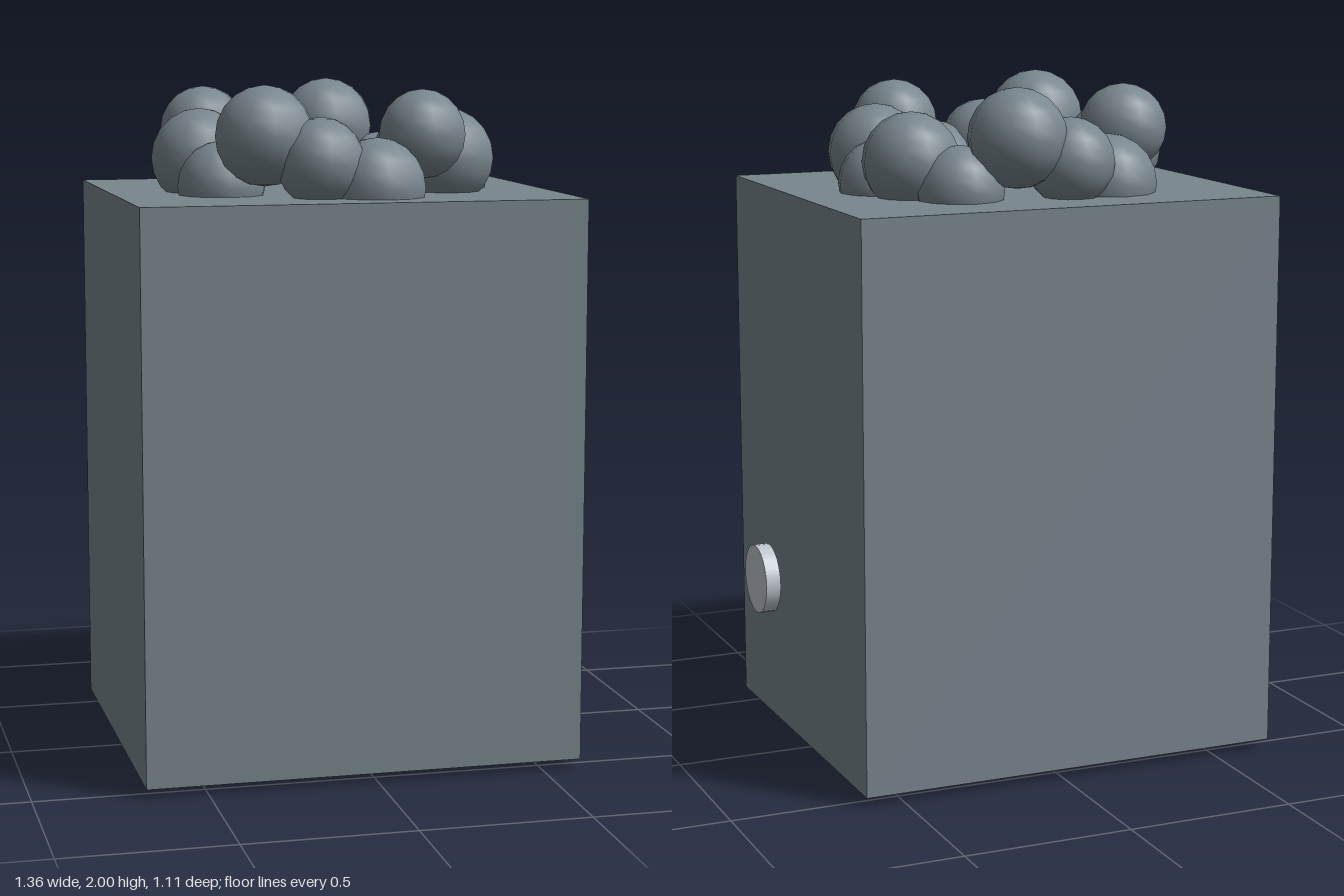
import * as THREE from 'three';

export function createModel() {
  const group = new THREE.Group();
  const slate = new THREE.MeshStandardMaterial({ color: 0x78868d });
  slate.name = 'slate grey';
  const silver = new THREE.MeshStandardMaterial({ color: 0xbfc6cd });
  silver.name = 'silver grey';

  const add = (name, geometry, material, x, y, z) => {
    const mesh = new THREE.Mesh(geometry, material);
    mesh.name = name;
    mesh.position.set(x, y, z);
    group.add(mesh);
    return mesh;
  };

  const cx = -0.033; // centre line of the cabinet

  // Cabinet
  add('cabinet', new THREE.BoxGeometry(1.294, 1.652, 1.11), slate, cx, 0.854, 0);

  // Four low feet
  const foot = new THREE.BoxGeometry(0.108, 0.028, 0.127);
  for (const sx of [-1, 1]) {
    for (const sz of [-1, 1]) {
      add('foot', foot, silver, cx + sx * 0.497, 0.014, sz * 0.402);
    }
  }

  // Round knob standing just off the left side
  const knob = add('knob', new THREE.CylinderGeometry(0.105, 0.105, 0.045, 24), silver, 0.654, 0.477, 0.236);
  knob.rotation.z = -Math.PI / 2;

  // Oval ring of balls: sizes alternate, heights climb in threes
  const count = 14;
  const balls = [0.13, 0.145].map((r) => new THREE.SphereGeometry(r, 12, 10));
  for (let i = 0; i < count; i++) {
    const a = (i / count) * Math.PI * 2;
    add('ball', balls[i % 2], slate,
      cx + Math.cos(a) * 0.376, 1.705 + (i % 3) * 0.075, Math.sin(a) * 0.332);
  }

  return group;
}
